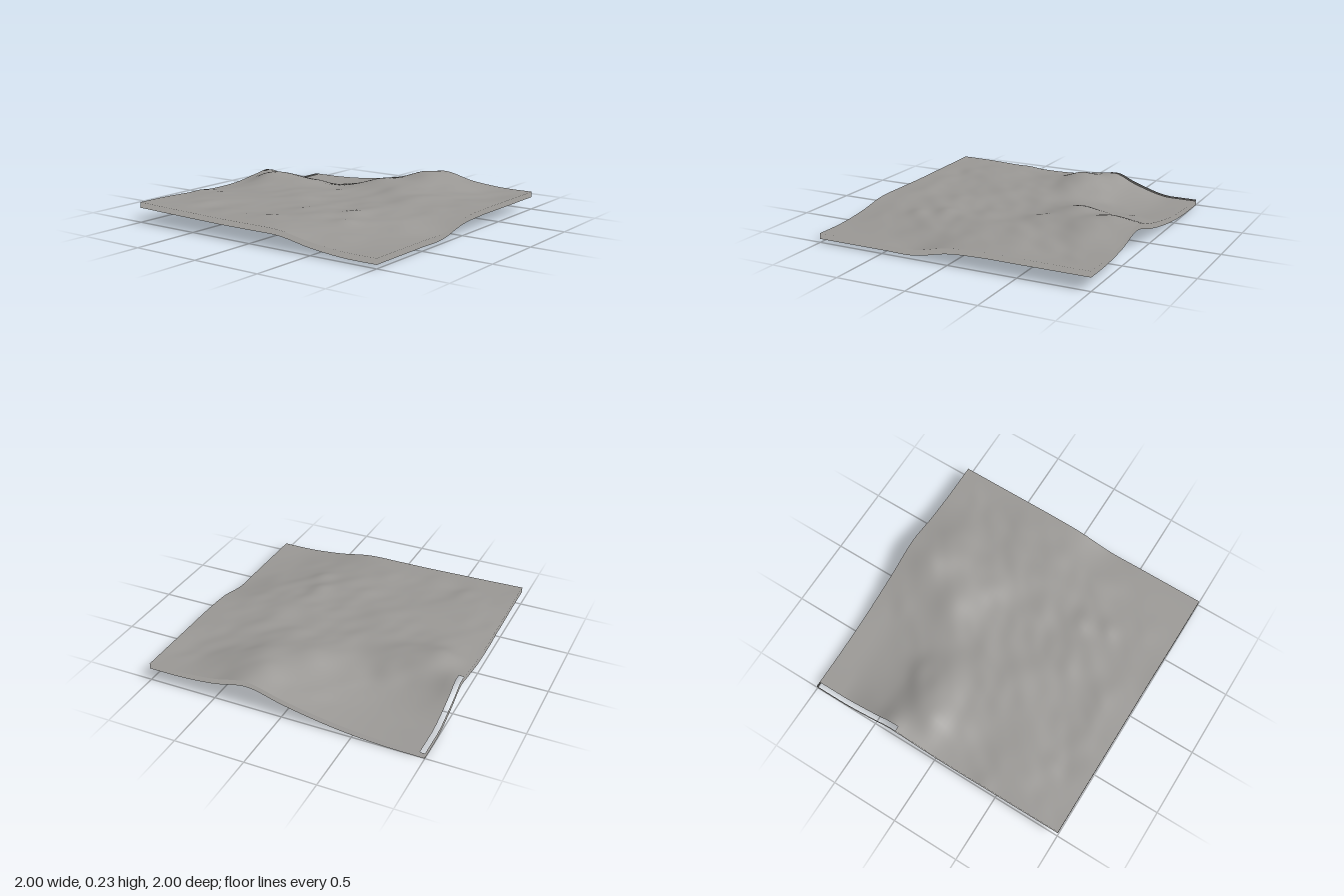
import * as THREE from 'three';

const N = 58;            // cells per side
const SKIRT = 0.04;      // depth of the rim skirt

// Coarse terrain heights: rows from back to front, columns from -x to +x, 0.25 apart
const HEIGHTS = [
  [.040, .042, .058, .092, .142, .203, .155, .132, .130],
  [.045, .045, .058, .095, .160, .222, .178, .132, .130],
  [.113, .095, .095, .125, .172, .185, .158, .138, .130],
  [.152, .190, .170, .145, .145, .150, .155, .138, .130],
  [.126, .155, .150, .143, .138, .142, .142, .132, .116],
  [.121, .135, .142, .142, .138, .138, .130, .102, .066],
  [.131, .142, .138, .133, .134, .138, .115, .083, .065],
  [.141, .136, .134, .132, .132, .132, .102, .073, .065],
  [.144, .139, .135, .131, .131, .128, .088, .066, .065],
];

// Local hillocks: x, z, radius, height
const HILLOCKS = [
  [-0.97, -0.37, 0.10, 0.035], [-0.80, -0.13, 0.10, 0.025], [-0.50, -0.42, 0.09, 0.020],
  [0.05, -0.50, 0.12, 0.020], [0.27, -0.30, 0.10, 0.018], [0.20, -0.78, 0.10, 0.010],
  [0.38, 0.36, 0.09, 0.020], [0.45, 0.56, 0.07, 0.014], [-0.62, 0.72, 0.07, 0.008],
  [-0.97, 0.40, 0.07, 0.008],
];

const clampIndex = (i) => Math.min(8, Math.max(0, i));

function cubic(a, b, c, d, t) {
  return b + 0.5 * t * (c - a + t * (2 * a - 5 * b + 4 * c - d + t * (3 * (b - c) + d - a)));
}

// Smooth seeded value noise
function hash(i, j) {
  const s = Math.sin(i * 127.1 + j * 311.7) * 43758.5453;
  return (s - Math.floor(s)) * 2 - 1;
}

function noise(x, y) {
  const i = Math.floor(x), j = Math.floor(y);
  const ease = (t) => t * t * (3 - 2 * t);
  const u = ease(x - i), v = ease(y - j);
  const lerp = THREE.MathUtils.lerp;
  return lerp(lerp(hash(i, j), hash(i + 1, j), u), lerp(hash(i, j + 1), hash(i + 1, j + 1), u), v);
}

function heightAt(x, z) {
  const gx = (x + 1) * 4, gz = (z + 1) * 4;
  const i = Math.min(7, Math.floor(gx)), j = Math.min(7, Math.floor(gz));
  const row = (r) => {
    const h = HEIGHTS[clampIndex(r)];
    return cubic(h[clampIndex(i - 1)], h[i], h[i + 1], h[clampIndex(i + 2)], gx - i);
  };
  let y = cubic(row(j - 1), row(j), row(j + 1), row(j + 2), gz - j);
  for (const [cx, cz, r, h] of HILLOCKS) {
    y += h * Math.exp(-((x - cx) ** 2 + (z - cz) ** 2) / (r * r));
  }
  // Diagonal ripples, fading out at the rim and in the low corner
  const p = x + z, q = x - z;
  const ripple = 0.008 * noise(p * 4 + 9, q * 2.5 + 5) + 0.005 * noise(p * 8, q * 5 + 20);
  const rim = Math.min(1, (1 - Math.max(Math.abs(x), Math.abs(z))) * 5);
  const low = THREE.MathUtils.smoothstep(y, 0.045, 0.12);
  return THREE.MathUtils.clamp(y + ripple * rim * low, 0.04, 0.235);
}

const at = (k) => -1 + (2 * k) / N;

function build(positions, index) {
  const geometry = new THREE.BufferGeometry();
  geometry.setAttribute('position', new THREE.Float32BufferAttribute(positions, 3));
  geometry.setIndex(index);
  geometry.computeVertexNormals();
  return geometry;
}

// Single ground sheet, with a narrow slot left open along the -x rim near the back
function ground() {
  const positions = [], index = [];
  for (let j = 0; j <= N; j++) {
    for (let i = 0; i <= N; i++) positions.push(at(i), heightAt(at(i), at(j)), at(j));
  }
  for (let j = 0; j < N; j++) {
    for (let i = 0; i < N; i++) {
      if (i === 0 && j < 20) continue;
      const a = j * (N + 1) + i, c = a + N + 1;
      index.push(a, c, a + 1, a + 1, c, c + 1);
    }
  }
  return build(positions, index);
}

// Skirt hanging from one side; its normals point up so it shades as part of the ground
function skirt(place) {
  const positions = [], index = [];
  for (let k = 0; k <= N; k++) {
    const [x, z] = place(k);
    const y = heightAt(x, z);
    positions.push(x, y - SKIRT, z, x, y, z);
    if (k < N) {
      const a = 2 * k;
      index.push(a, a + 2, a + 1, a + 1, a + 2, a + 3);
    }
  }
  const geometry = build(positions, index);
  const normal = geometry.attributes.normal;
  for (let v = 0; v < normal.count; v++) normal.setXYZ(v, 0, 1, 0);
  return geometry;
}

export function createModel() {
  const group = new THREE.Group();
  group.name = 'terrainTile';
  const stone = new THREE.MeshStandardMaterial({ color: 0x9b9996, side: THREE.DoubleSide });
  stone.name = 'warmGrayStone';

  const add = (name, geometry) => {
    const mesh = new THREE.Mesh(geometry, stone);
    mesh.name = name;
    group.add(mesh);
  };

  add('groundSurface', ground());
  add('frontSkirt', skirt((k) => [at(k), 1]));
  add('leftSkirt', skirt((k) => [1, -at(k)]));
  add('backSkirt', skirt((k) => [-at(k), -1]));
  add('rightSkirt', skirt((k) => [-1, at(k)]));
  return group;
}
